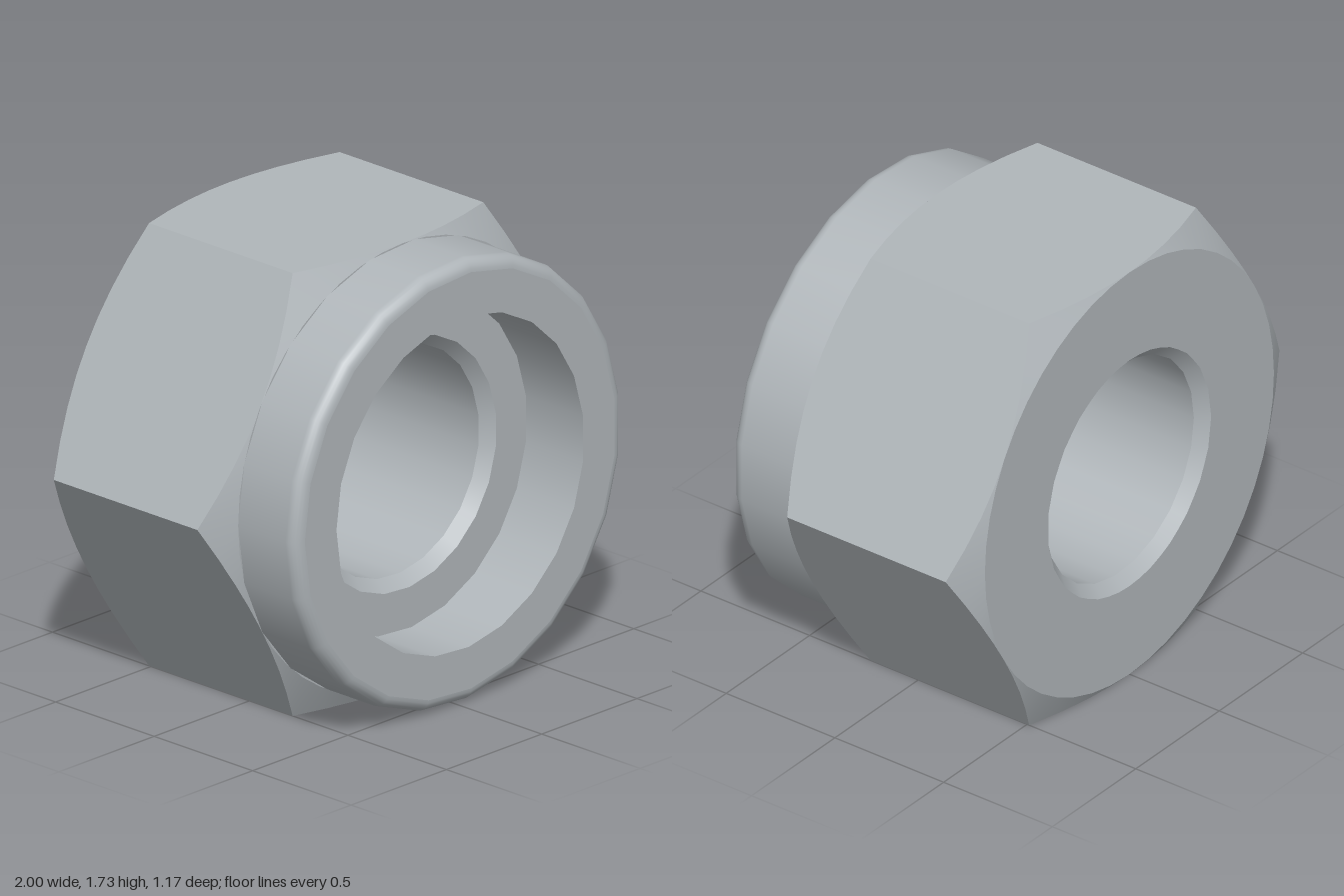
import * as THREE from 'three';

const R = Math.sqrt(3) / 2;       // across-flats radius, also the collar radius
const BACK = -0.587, SEAT = 0.297, FRONT = 0.587;
const SIDES = 23;                 // facets of the turned surfaces
const PER_FLAT = 8;               // samples along each hexagon flat
const SLOPE = Math.tan(Math.PI / 6);

// Distance from centre to the edge of a regular polygon with the given corner radius
function polygonRadius(corner, n, angle, start) {
  const step = (2 * Math.PI) / n;
  const a = (((angle - start) % step) + step) % step;
  return (corner * Math.cos(step / 2)) / Math.cos(a - step / 2);
}

// Closed loop of points around z
function ring(radiusAt, zAt) {
  const points = [];
  for (let i = 0; i < 6 * PER_FLAT; i++) {
    const a = (i / (6 * PER_FLAT)) * 2 * Math.PI;
    const r = radiusAt(a);
    points.push(new THREE.Vector3(r * Math.cos(a), r * Math.sin(a), zAt(r)));
  }
  return points;
}

// Strip of faces joining two loops
function band(a, b, flat) {
  const n = a.length, index = [];
  for (let i = 0; i < n; i++) {
    const j = (i + 1) % n;
    index.push(i, j, n + i, j, n + j, n + i);
  }
  let geometry = new THREE.BufferGeometry().setFromPoints([...a, ...b]);
  geometry.setIndex(index);
  if (flat) geometry = geometry.toNonIndexed();
  geometry.computeVertexNormals();
  return geometry;
}

// Turned surface around z from [radius, z] pairs
function turned(profile) {
  const points = profile.map(([r, z]) => new THREE.Vector2(r, z));
  return new THREE.LatheGeometry(points, SIDES, -Math.PI / 2).rotateX(Math.PI / 2);
}

export function createModel() {
  const model = new THREE.Group();
  model.name = 'lockNut';
  const steel = new THREE.MeshStandardMaterial({ color: 0xb0b6ba });
  steel.name = 'steel';
  const nut = new THREE.Group();
  nut.name = 'nut';
  nut.position.y = R;
  model.add(nut);
  const add = (name, geometry) => {
    const mesh = new THREE.Mesh(geometry, steel);
    mesh.name = name;
    nut.add(mesh);
  };

  // Hexagon body with conical corner chamfers at both ends
  const hex = a => polygonRadius(1, 6, a, 0);
  const backInner = ring(a => polygonRadius(0.49, SIDES, a, Math.PI), () => BACK);
  const backCircle = ring(() => R, () => BACK);
  const backEdge = ring(hex, r => BACK + SLOPE * (r - R));
  const frontEdge = ring(hex, r => SEAT - SLOPE * (r - R));
  const frontCircle = ring(() => R, () => SEAT);
  const frontInner = ring(() => 0.8, () => SEAT);
  add('backFace', band(backInner, backCircle, true));
  add('backChamfer', band(backCircle, backEdge, false));
  add('hexagonSides', band(backEdge, frontEdge, true));
  add('frontChamfer', band(frontEdge, frontCircle, false));
  add('shoulder', band(frontCircle, frontInner, true));

  // Round collar with a rolled front edge
  const fillet = 0.05, collar = [[R, SEAT]];
  for (let i = 0; i <= 6; i++) {
    const a = (i / 6) * Math.PI / 2;
    collar.push([R - fillet + fillet * Math.cos(a), FRONT - fillet + fillet * Math.sin(a)]);
  }
  add('collar', turned(collar));
  add('collarFace', turned([[R - fillet, FRONT], [0.65, FRONT]]));

  // Recess, ledge and bore, split at each sharp edge
  const inside = [[0.65, FRONT], [0.65, SEAT], [0.49, SEAT], [0.445, SEAT - 0.045],
    [0.445, BACK + 0.045], [0.49, BACK]];
  ['recessWall', 'ledge', 'boreFrontChamfer', 'bore', 'boreBackChamfer'].forEach((name, i) =>
    add(name, turned([inside[i], inside[i + 1]])));

  return model;
}
